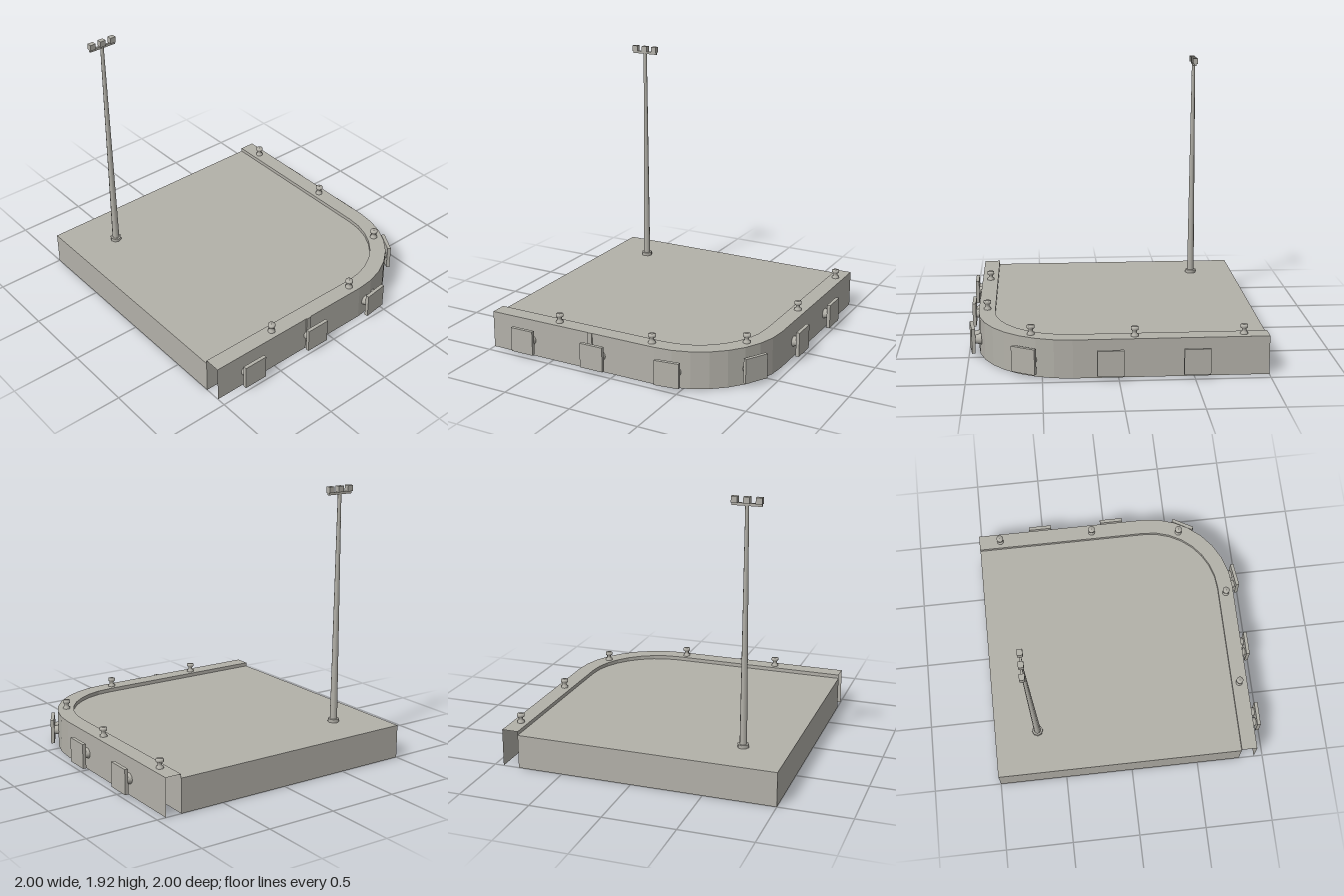
import * as THREE from 'three';

const TOP = 0.265, DECK = 0.238;   // kerb and deck heights
const C = 0.3;                     // centre of the rounded corner (x and z)
const R_IN = 0.52, R_OUT = 0.635;  // inner and outer radii of the kerb
const ARC = 8;

// Plan line along the front, round the corner and down the left side: [x, z]
function quayLine(r) {
  const pts = [[-1, C + r]];
  for (let i = 0; i <= ARC; i++) {
    const a = (i / ARC) * Math.PI / 2;
    pts.push([C + r * Math.sin(a), C + r * Math.cos(a)]);
  }
  pts.push([C + r, -1]);
  return pts;
}

// Open shell swept along the quay line through [radius, y] profile points
function sweepShell(profile) {
  const pos = [];
  for (let k = 0; k < profile.length - 1; k++) {
    const [[ra, ya], [rb, yb]] = [profile[k], profile[k + 1]];
    const A = quayLine(ra), B = quayLine(rb);
    for (let i = 0; i < A.length - 1; i++) {
      const a0 = [A[i][0], ya, A[i][1]], a1 = [A[i + 1][0], ya, A[i + 1][1]];
      const b0 = [B[i][0], yb, B[i][1]], b1 = [B[i + 1][0], yb, B[i + 1][1]];
      pos.push(...a0, ...b0, ...b1, ...a0, ...b1, ...a1);
    }
  }
  const g = new THREE.BufferGeometry();
  g.setAttribute('position', new THREE.Float32BufferAttribute(pos, 3));
  g.computeVertexNormals();
  return g;
}

export function createModel() {
  const root = new THREE.Group();
  root.name = 'quayCorner';
  const concrete = new THREE.MeshStandardMaterial({ color: 0xb3b1a9, side: THREE.DoubleSide });
  concrete.name = 'concreteGrey';

  const add = (parent, name, geo, x = 0, y = 0, z = 0) => {
    const m = new THREE.Mesh(geo, concrete);
    m.name = name;
    m.position.set(x, y, z);
    parent.add(m);
    return m;
  };
  const group = (name, x, y, z, turn = 0) => {
    const g = new THREE.Group();
    g.name = name;
    g.position.set(x, y, z);
    g.rotation.y = turn;
    root.add(g);
    return g;
  };

  // Deck slab with one rounded corner
  const plan = new THREE.Shape([[-1, -1], ...quayLine(R_IN)].map(([x, z]) => new THREE.Vector2(x, z)));
  const slab = new THREE.ExtrudeGeometry(plan, { depth: DECK, bevelEnabled: false });
  slab.rotateX(Math.PI / 2);
  add(root, 'deckSlab', slab, 0, DECK, 0);

  // Raised kerb with its hanging outer wall, open underneath
  add(root, 'kerbAndWall', sweepShell([[R_IN, DECK], [R_IN, TOP], [R_OUT, TOP], [R_OUT, 0]]));

  // Narrow ladder strip on the front wall
  add(root, 'ladderStrip', new THREE.BoxGeometry(0.036, 0.268, 0.009), -0.197, 0.134, 0.9385);

  // Fenders: a panel on two tapered rubber cones
  const panelGeo = new THREE.BoxGeometry(0.176, 0.176, 0.025);
  const coneGeo = new THREE.CylinderGeometry(0.028, 0.039, 0.046, 16);
  coneGeo.rotateX(Math.PI / 2);
  const deg = Math.PI / 180;
  const fenders = [
    [-0.72, 0.985, 0], [-0.155, 0.985, 0], [0.416, 0.976, 7 * deg],
    [0.89, 0.622, 60.5 * deg], [0.985, 0.055, 90 * deg], [0.985, -0.515, 90 * deg],
  ];
  for (const [x, z, turn] of fenders) {
    const f = group('fender', x, 0.117, z, turn);
    add(f, 'fenderPanel', panelGeo);
    for (const s of [-1, 1]) add(f, 'fenderCone', coneGeo, s * 0.04, 0, -0.034);
  }

  // Mooring bollards along the kerb
  const bollardGeo = new THREE.LatheGeometry(
    [[0.026, 0], [0.024, 0.012], [0.015, 0.018], [0.015, 0.036], [0.026, 0.044], [0.026, 0.062], [0, 0.062]]
      .map(([r, y]) => new THREE.Vector2(r, y)), 16);
  for (const [x, z] of [[-0.48, 0.875], [0.25, 0.875], [0.8, 0.573], [0.875, -0.11], [0.875, -0.835]]) {
    add(root, 'bollard', bollardGeo, x, TOP, z);
  }

  // Floodlight mast
  const mast = group('lightMast', -0.68, 0, -0.68);
  add(mast, 'mastFoot', new THREE.CylinderGeometry(0.04, 0.04, 0.024, 8), 0, DECK + 0.012, 0);
  add(mast, 'mastPole', new THREE.CylinderGeometry(0.0125, 0.026, 1.632, 8), 0, DECK + 0.816, 0);
  add(mast, 'crossbar', new THREE.BoxGeometry(0.2, 0.018, 0.016), 0, 1.876, 0);
  for (const x of [-0.081, 0, 0.081]) {
    add(mast, 'floodlight', new THREE.BoxGeometry(0.042, 0.042, 0.036), x, 1.904, 0);
  }

  return root;
}
